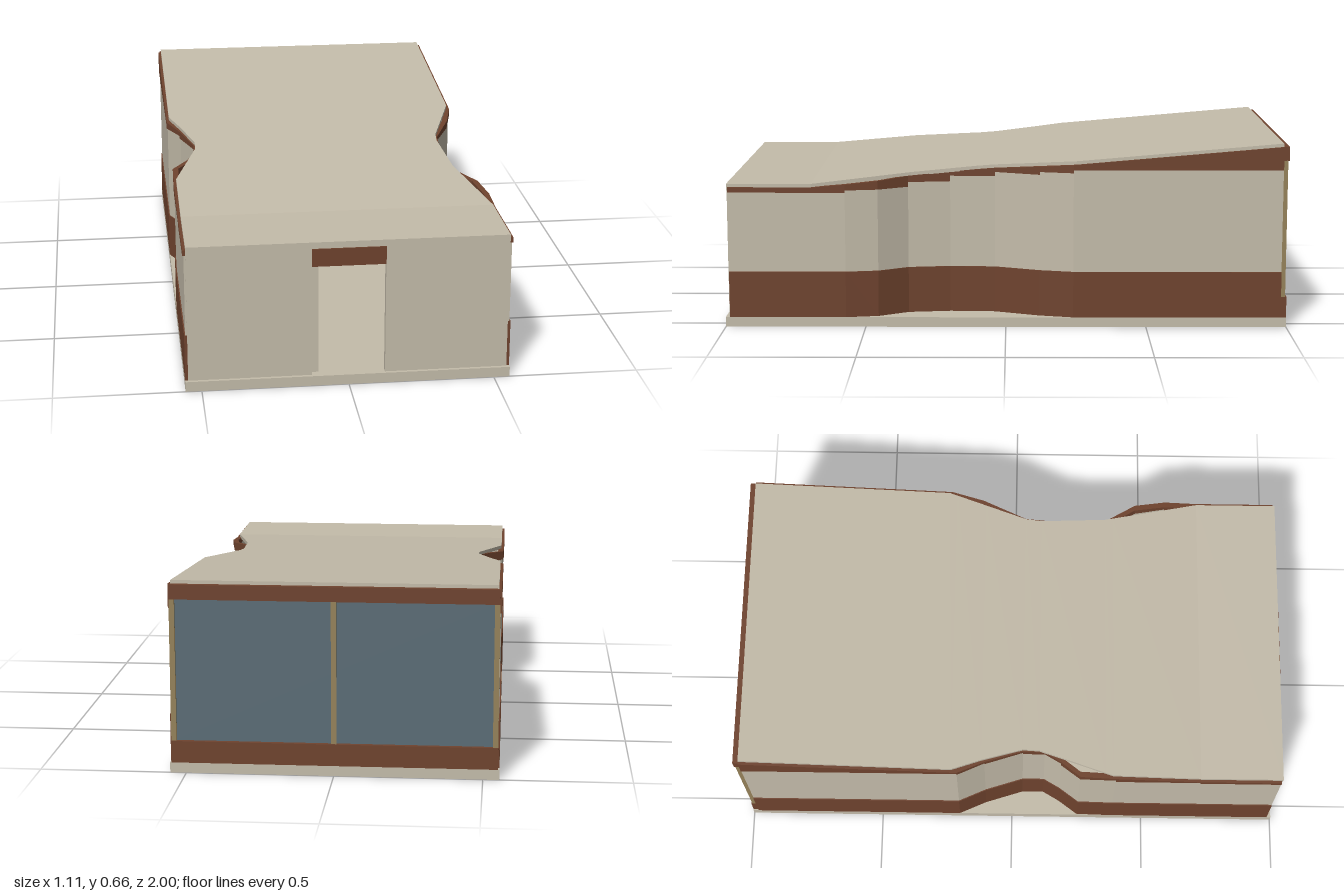
import * as THREE from 'three';

const mat = (name, color, side = THREE.FrontSide) => {
  const m = new THREE.MeshStandardMaterial({ color, side });
  m.name = name;
  return m;
};

// Piecewise linear lookup in [key, value] pairs sorted by rising key
function lerp(table, k) {
  if (k <= table[0][0]) return table[0][1];
  for (let i = 1; i < table.length; i++) {
    const [k0, v0] = table[i - 1], [k1, v1] = table[i];
    if (k <= k1) return v0 + (v1 - v0) * (k - k0) / (k1 - k0);
  }
  return table[table.length - 1][1];
}

// Solid lofted along z from rectangular sections {z, x0, x1, y0, y1}, z rising
function loft(sections) {
  const pos = [];
  const quad = (a, b, c, d) => pos.push(...a, ...b, ...c, ...a, ...c, ...d);
  const ring = s => [[s.x0, s.y0, s.z], [s.x1, s.y0, s.z], [s.x1, s.y1, s.z], [s.x0, s.y1, s.z]];
  const rings = sections.map(ring);
  for (let i = 1; i < rings.length; i++) {
    const a = rings[i - 1], b = rings[i];
    for (let j = 0; j < 4; j++) {
      const k = (j + 1) % 4;
      quad(a[j], a[k], b[k], b[j]);
    }
  }
  const first = rings[0], last = rings[rings.length - 1];
  quad(first[3], first[2], first[1], first[0]);
  quad(last[0], last[1], last[2], last[3]);
  const g = new THREE.BufferGeometry();
  g.setAttribute('position', new THREE.Float32BufferAttribute(pos, 3));
  g.computeVertexNormals();
  return g;
}

export function createModel() {
  const model = new THREE.Group();
  model.name = 'house';
  const cream = mat('cream plaster', 0xc4bcaa);
  const brown = mat('brown wood', 0x6f432e);
  const glass = mat('blue grey glass', 0x5b6d76);
  const gold = mat('gold frame', 0x96825a);

  const add = (name, geometry, material) => {
    const m = new THREE.Mesh(geometry, material);
    m.name = name;
    model.add(m);
    return m;
  };
  // Box given by its limits
  const box = (name, material, x0, x1, y0, y1, z0, z1) => {
    const m = add(name, new THREE.BoxGeometry(x1 - x0, y1 - y0, z1 - z0), material);
    m.position.set((x0 + x1) / 2, (y0 + y1) / 2, (z0 + z1) / 2);
    return m;
  };

  // Floor slab
  box('floorSlab', cream, -0.555, 0.555, 0, 0.035, -1, 1);

  // Sloping roof with a waist on each side
  const roofTop = z => lerp([[-0.98, 0.66], [0.69, 0.515], [1, 0.515]], z);
  const roofUnder = z => roofTop(z) - 0.014;
  const roofLeft = [[-0.98, 0.545], [-0.25, 0.545], [0.04, 0.452], [0.1, 0.447], [0.34, 0.465], [0.69, 0.545]];
  const roofRight = [[-0.22, 0.545], [-0.11, 0.505], [0.04, 0.46], [0.1, 0.462], [0.37, 0.545]];
  const roofStations = [-0.98, -0.25, -0.22, -0.11, 0.04, 0.1, 0.34, 0.37, 0.69, 0.99];
  add('roof', loft(roofStations.map(z => ({
    z, x0: -lerp(roofRight, z), x1: lerp(roofLeft, z), y0: roofUnder(z), y1: roofTop(z),
  }))), cream);

  // Side walls: path as [z, outer distance from the middle]
  const leftPath = [[-0.98, 0.555], [-0.24, 0.555], [-0.12, 0.525], [0.04, 0.458], [0.2, 0.45],
    [0.35, 0.47], [0.455, 0.535], [0.57, 0.555], [0.69, 0.555], [0.985, 0.555]];
  const rightPath = [[-0.98, 0.555], [-0.2, 0.555], [-0.1, 0.51], [0.04, 0.465], [0.12, 0.465],
    [0.18, 0.5], [0.25, 0.552], [0.38, 0.555], [0.69, 0.555], [0.985, 0.555]];
  // Stepped height of the plaster below the fascia
  const plasterTop = z => z < -0.24 ? 0.565 : z < -0.12 ? 0.555 : z < 0.04 ? 0.545
    : z < 0.2 ? 0.53 : z < 0.35 ? 0.51 : z < 0.57 ? 0.493 : 0.485;

  for (const [side, path, s] of [['left', leftPath, 1], ['right', rightPath, -1]]) {
    const section = (z, x, inset, y0, y1) => {
      const outer = s * (x - inset), inner = s * (x - 0.02);
      return { z, x0: Math.min(outer, inner), x1: Math.max(outer, inner), y0, y1 };
    };
    add(side + 'WallBase', loft(path.map(([z, x]) => section(z, x, 0, 0.035, 0.2))), brown);
    for (let i = 1; i < path.length; i++) {
      const pair = [path[i - 1], path[i]];
      const step = plasterTop((pair[0][0] + pair[1][0]) / 2);
      add(side + 'WallPlaster', loft(pair.map(([z, x]) => section(z, x, 0.004, 0.2, step))), cream);
      add(side + 'Fascia', loft(pair.map(([z, x]) =>
        section(z, x, 0, step, Math.max(step + 0.003, roofUnder(z) + 0.002)))), brown);
    }
  }

  // Front wall with doorway and header
  for (const s of [-1, 1]) {
    const xs = [s * 0.125, s * 0.545].sort((a, b) => a - b);
    box('frontWall', cream, xs[0], xs[1], 0.035, 0.492, 0.965, 0.988);
  }
  box('frontTopBeam', cream, -0.545, 0.545, 0.492, 0.512, 0.965, 0.989);
  box('doorHeader', brown, -0.125, 0.125, 0.43, 0.492, 0.965, 0.994);

  // Hall partition beside the doorway
  box('hallWall', cream, -0.125, -0.1, 0.035, 0.492, 0.35, 0.965);

  // Back window wall
  box('backSill', brown, -0.55, 0.55, 0.035, 0.11, -1, -0.98);
  box('backFascia', brown, -0.55, 0.55, 0.598, 0.648, -1, -0.975);
  box('backWindow', glass, -0.54, 0.54, 0.11, 0.6, -0.985, -0.977);
  for (const x of [-0.541, 0, 0.541])
    box('windowMullion', gold, x - 0.009, x + 0.009, 0.11, 0.6, -0.995, -0.97);

  // Table and counter inside
  box('tableTop', brown, -0.1, 0.11, 0.152, 0.16, -0.1, 0.25);
  for (const z of [-0.08, 0.23])
    box('tableLeg', gold, -0.1, -0.09, 0.035, 0.152, z - 0.006, z + 0.006);
  box('counter', cream, 0.075, 0.35, 0.035, 0.145, -0.6, -0.2);
  box('counterTop', brown, 0.05, 0.36, 0.145, 0.153, -0.62, -0.18);

  return model;
}
